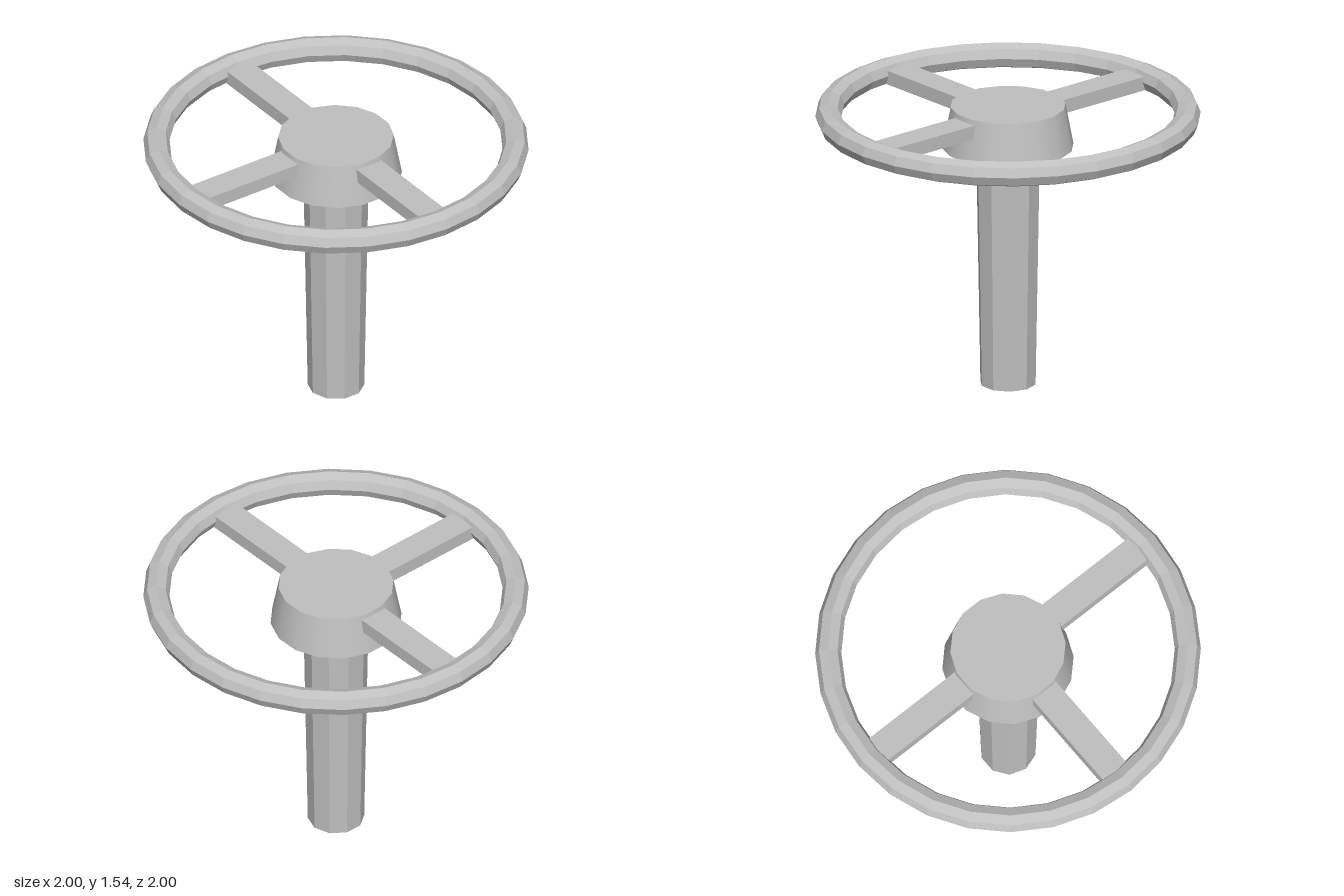
import * as THREE from 'three';

export function createModel() {
  const model = new THREE.Group();
  model.name = 'steeringWheel';

  const grey = new THREE.MeshStandardMaterial({ color: 0xc0c0c0 });
  grey.name = 'plain grey';

  // Facet a geometry so every polygon shades flat
  const faceted = (geometry) => {
    const flat = geometry.toNonIndexed();
    flat.computeVertexNormals();
    return flat;
  };

  const add = (name, geometry, x, y, z) => {
    const mesh = new THREE.Mesh(geometry, grey);
    mesh.name = name;
    mesh.position.set(x, y, z);
    model.add(mesh);
    return mesh;
  };

  // Octagonal-section rim, lying flat
  const rim = new THREE.TorusGeometry(0.932, 0.068, 8, 28).rotateX(Math.PI / 2);
  add('rim', faceted(rim), 0, 1.473, 0);

  // Hub: smooth tapered drum with flats facing front, back and sides
  const hubBottom = 1.3, hubTop = 1.525;
  const hub = new THREE.CylinderGeometry(0.3, 0.342, hubTop - hubBottom, 16).rotateY(Math.PI / 16);
  add('hub', hub, 0, (hubTop + hubBottom) / 2, 0);

  // Ten-sided column, slightly narrower at the foot, tucked into the hub
  const columnHeight = 1.32;
  add('column', faceted(new THREE.CylinderGeometry(0.17, 0.147, columnHeight, 10)), 0, columnHeight / 2, 0);

  // Three spokes: left, right and front
  const inner = 0.25, outer = 0.876;
  const spokes = [['leftSpoke', 0], ['rightSpoke', Math.PI], ['frontSpoke', -Math.PI / 2]];
  for (const [name, angle] of spokes) {
    const bar = new THREE.BoxGeometry(outer - inner, 0.075, 0.156);
    bar.translate((inner + outer) / 2, 0, 0);
    add(name, bar, 0, 1.4625, 0).rotation.y = angle;
  }

  return model;
}
